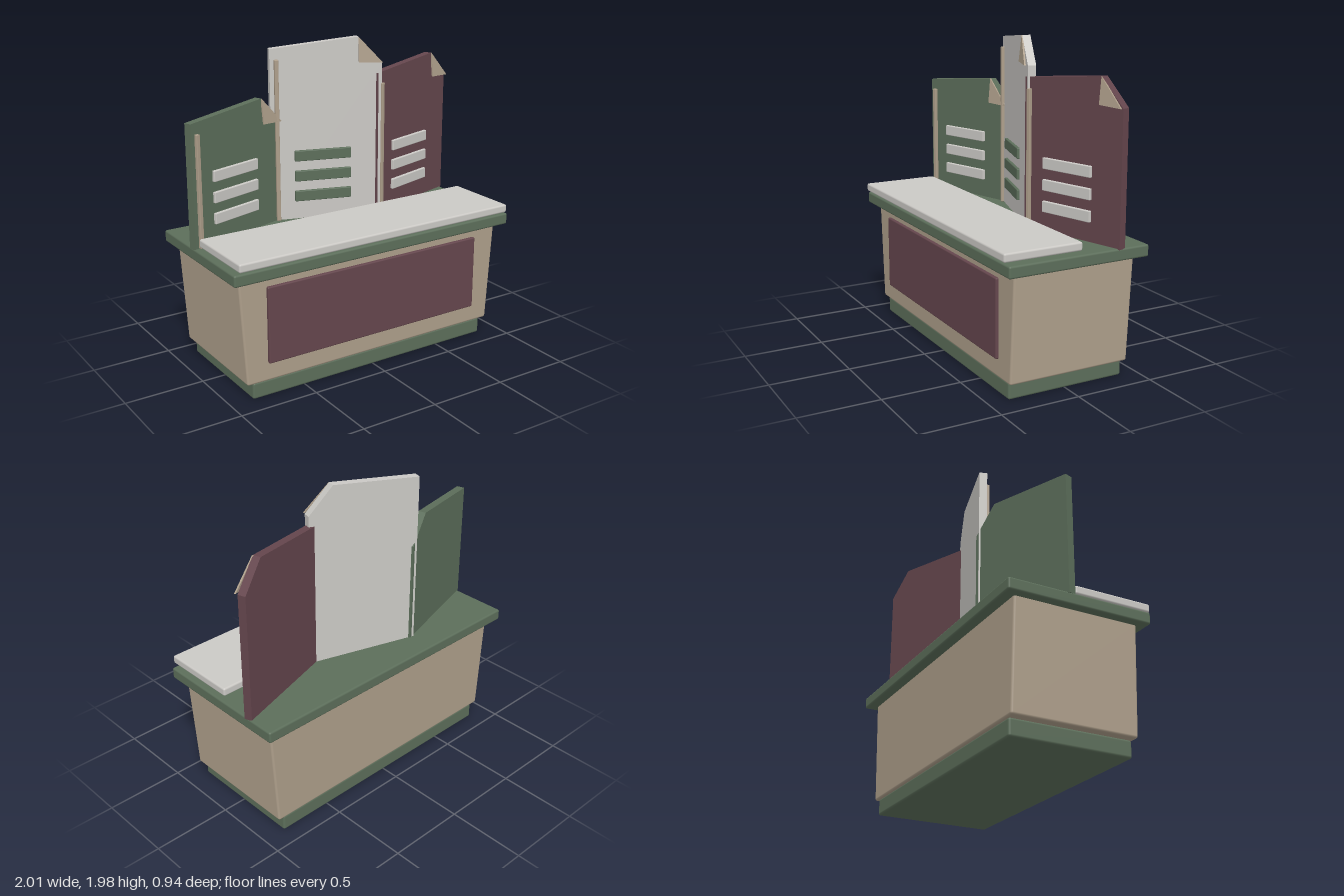
import * as THREE from 'three';
import { RoundedBoxGeometry } from 'three/addons/geometries/RoundedBoxGeometry.js';

const mat = (name, color) => {
  const m = new THREE.MeshStandardMaterial({ color });
  m.name = name;
  return m;
};

export function createModel() {
  const green = mat('sage green', 0x5c6e5a);
  const white = mat('warm white', 0xcbc9c5);
  const tan = mat('tan', 0xad9e8a);
  const red = mat('maroon', 0x65464d);

  const model = new THREE.Group();
  model.name = 'counterWithScreen';

  const add = (parent, name, geometry, material) => {
    const mesh = new THREE.Mesh(geometry, material);
    mesh.name = name;
    parent.add(mesh);
    return mesh;
  };

  // Rounded box given by its min and max corners
  const block = (parent, name, material, [x0, y0, z0], [x1, y1, z1], r) => {
    const g = new RoundedBoxGeometry(x1 - x0, y1 - y0, z1 - z0, 2, r);
    g.translate((x0 + x1) / 2, (y0 + y1) / 2, (z0 + z1) / 2);
    return add(parent, name, g, material);
  };

  // Counter
  block(model, 'plinth', green, [-0.855, 0, -0.39], [0.855, 0.105, 0.375], 0.014);
  const body = block(model, 'body', tan, [-0.94, 0.105, -0.4], [0.94, 0.775, 0.39], 0.014);
  block(model, 'counterSlab', green, [-0.995, 0.762, -0.465], [0.995, 0.835, 0.452], 0.012);
  block(model, 'worktop', white, [-0.97, 0.85, -0.03], [0.97, 0.903, 0.47], 0.012);
  block(model, 'frontPanel', red, [-0.76, 0.22, 0.375], [0.765, 0.7, 0.409], 0.008);

  // Body narrows towards the floor
  const p = body.geometry.attributes.position;
  for (let i = 0; i < p.count; i++) {
    p.setX(i, p.getX(i) * (0.955 + 0.045 * (p.getY(i) - 0.105) / 0.67));
  }

  // Folding screen leaves, each with a dog-eared corner
  const T = 0.05;
  const polygon = (points, depth) => new THREE.ExtrudeGeometry(
    new THREE.Shape(points.map(([x, y]) => new THREE.Vector2(x, y))),
    { depth, bevelEnabled: false });

  const leaf = (name, x, z, angle, w, peak, material, barMaterial) => {
    const g = new THREE.Group();
    g.name = name;
    g.position.set(x, 0, z);
    g.rotation.y = angle;
    model.add(g);

    const h = w / 2, cut = h - 0.155, low = peak - 0.165;
    const sheet = polygon(
      [[-h, 0.83], [h, 0.83], [h, low], [cut, peak], [-h, peak - 0.052]], T);
    sheet.translate(0, 0, -T / 2);
    add(g, 'sheet', sheet, material);

    // Turned-down corner, leaning forward towards its lower edge
    const fold = polygon([[cut, low + 0.008], [h, low], [cut, peak]], 0.01);
    const f = fold.attributes.position;
    for (let i = 0; i < f.count; i++) {
      f.setZ(i, f.getZ(i) + T / 2 - 0.006 + (peak - f.getY(i)) * 0.11);
    }
    fold.computeVertexNormals();
    add(g, 'foldedCorner', fold, tan);

    // Edge strip
    const s = -0.445 * w;
    block(g, 'edgeStrip', tan, [s - 0.013, 0.835, 0.015], [s + 0.013, peak - 0.117, 0.045], 0.004);

    // Three horizontal bars
    for (let i = 0; i < 3; i++) {
      const y = 0.953 + i * 0.131;
      block(g, 'bar', barMaterial, [-0.21, y, 0.015], [0.155, y + 0.068, 0.043], 0.005);
    }
  };

  leaf('rightLeaf', -0.645, -0.172, 0.293, 0.73, 1.642, green, white);
  leaf('middleLeaf', 0, -0.17, -0.3, 0.717, 1.978, white, green);
  leaf('leftLeaf', 0.645, -0.172, 0.293, 0.73, 1.796, red, white);

  return model;
}
